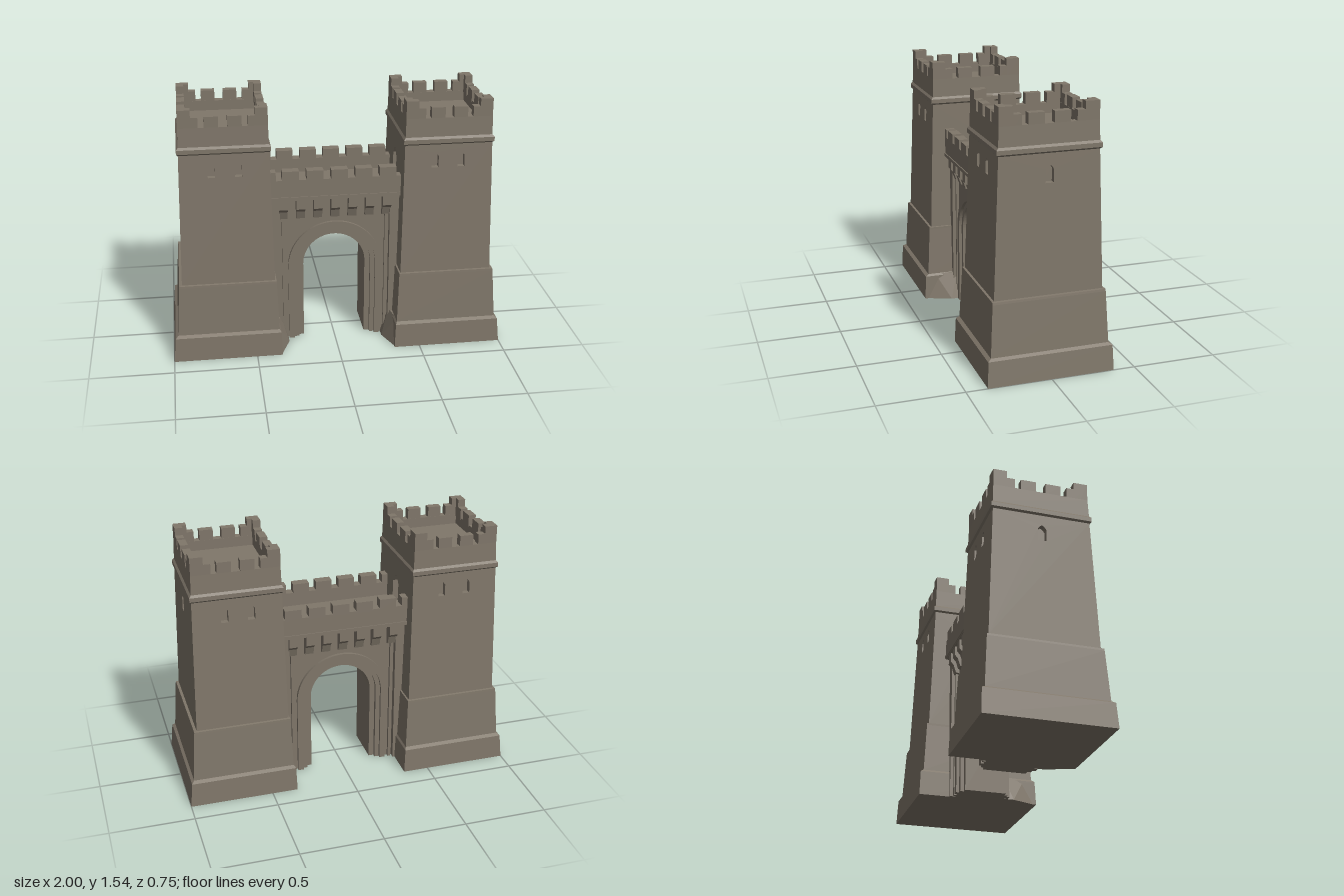
import * as THREE from 'three';
import { ConvexGeometry } from 'three/addons/geometries/ConvexGeometry.js';

const stone = new THREE.MeshStandardMaterial({ color: 0x80776a });
stone.name = 'stone';

function add(parent, name, geometry) {
  const mesh = new THREE.Mesh(geometry, stone);
  mesh.name = name;
  parent.add(mesh);
  return mesh;
}

// Box given by its two extreme corners
function block(parent, name, x0, x1, y0, y1, z0, z1) {
  add(parent, name, new THREE.BoxGeometry(x1 - x0, y1 - y0, z1 - z0))
    .position.set((x0 + x1) / 2, (y0 + y1) / 2, (z0 + z1) / 2);
}

// Rectangular rings [y, xInner, xOuter, zHalf] joined into a flat-shaded skin
function loft(rings, capBottom, capTop) {
  const pos = [];
  const corners = ([y, a, b, z]) => [[a, y, z], [b, y, z], [b, y, -z], [a, y, -z]];
  const quad = (a, b, c, d) => pos.push(...a, ...b, ...c, ...a, ...c, ...d);
  for (let i = 0; i < rings.length - 1; i++) {
    const lo = corners(rings[i]), hi = corners(rings[i + 1]);
    for (let k = 0; k < 4; k++) quad(lo[k], lo[(k + 1) % 4], hi[(k + 1) % 4], hi[k]);
  }
  if (capBottom) quad(...corners(rings[0]).reverse());
  if (capTop) quad(...corners(rings[rings.length - 1]));
  const g = new THREE.BufferGeometry();
  g.setAttribute('position', new THREE.Float32BufferAttribute(pos, 3));
  g.computeVertexNormals();
  return g;
}

// Outline of a slit window or doorway with a pointed head
function openingPoints(u, y, w, h) {
  const s = w / 2;
  return [[-s, 0], [s, 0], [s, h - s], [s * 0.5, h - s * 0.3], [0, h], [-s * 0.5, h - s * 0.3], [-s, h - s]]
    .map(([a, b]) => new THREE.Vector2(u + a, y + b));
}

// Tapering shaft: lower and upper ring
const LOW = [0.48, 0.38, 0.932, 0.317];
const HIGH = [1.28, 0.395, 0.914, 0.288];

function shaft(tower) {
  const at = (y, i) => THREE.MathUtils.lerp(LOW[i], HIGH[i], (y - LOW[0]) / (HIGH[0] - LOW[0]));
  const [, a0, b0, z0] = LOW, [, a1, b1, z1] = HIGH;
  // Each side: edge positions, openings [u, y, width, height], and placing rule
  const sides = [
    { name: 'front', e: [a0, b0, b1, a1], holes: [[0.575, 1.14, 0.042, 0.09], [0.73, 1.14, 0.042, 0.09]],
      place: (u, y, d) => [u, y, at(y, 3) + d] },
    { name: 'outer', e: [-z0, z0, z1, -z1], holes: [[0, 1.115, 0.05, 0.1]],
      place: (u, y, d) => [at(y, 2) + d, y, -u] },
    { name: 'back', e: [-b0, -a0, -a1, -b1], holes: [[-0.575, 1.14, 0.042, 0.09], [-0.73, 1.14, 0.042, 0.09]],
      place: (u, y, d) => [-u, y, -at(y, 3) - d] },
    { name: 'inner', e: [-z0, z0, z1, -z1], holes: [[0, 0.985, 0.1, 0.19]],
      place: (u, y, d) => [at(y, 1) - d, y, u] },
  ];
  for (const { name, e, holes, place } of sides) {
    const bend = (g) => {
      const p = g.attributes.position;
      for (let i = 0; i < p.count; i++) p.setXYZ(i, ...place(p.getX(i), p.getY(i), p.getZ(i)));
      g.computeVertexNormals();
      return g;
    };
    const face = new THREE.Shape([[e[0], LOW[0]], [e[1], LOW[0]], [e[2], HIGH[0]], [e[3], HIGH[0]]]
      .map((p) => new THREE.Vector2(...p)));
    for (const h of holes) {
      const pts = openingPoints(...h);
      face.holes.push(new THREE.Path(pts));
      // Inward-facing niche behind the opening
      const niche = new THREE.ExtrudeGeometry(new THREE.Shape(pts), { depth: 0.035, bevelEnabled: false });
      niche.scale(1, 1, -1);
      add(tower, name + 'Niche', bend(niche));
    }
    add(tower, name + 'ShaftWall', bend(new THREE.ShapeGeometry(face)));
  }
}

function makeTower() {
  const tower = new THREE.Group();
  add(tower, 'plinth', loft([
    [0, 0.345, 1.0, 0.373], [0.15, 0.351, 0.986, 0.367], [0.163, 0.36, 0.97, 0.347],
    [0.465, 0.371, 0.95, 0.331], [0.478, 0.371, 0.948, 0.33], LOW], true, false));
  shaft(tower);
  // String course, parapet wall and sunken roof floor in one skin
  add(tower, 'parapet', loft([
    HIGH, [1.29, 0.386, 0.924, 0.299], [1.315, 0.386, 0.924, 0.299], [1.328, 0.396, 0.913, 0.288],
    [1.44, 0.399, 0.909, 0.284], [1.44, 0.443, 0.867, 0.237], [1.38, 0.443, 0.867, 0.237]], false, true));
  // Battlements: [start, end, top] as fractions of half a side
  const teeth = [[0.1, 0.42, 1.503], [0.55, 0.72, 1.5], [0.71, 1, 1.545]];
  const cx = 0.654, hx = 0.255, hz = 0.284, t = 0.046;
  for (const s of [-1, 1]) for (const m of [-1, 1]) for (const [f0, f1, top] of teeth) {
    const span = (h) => [m * f0 * h, m * f1 * h].sort((a, b) => a - b);
    const [xa, xb] = span(hx), [za, zb] = span(hz);
    const zc = s * (hz - t / 2), xc = cx + s * (hx - t / 2);
    block(tower, 'merlon', cx + xa, cx + xb, 1.43, top, zc - t / 2, zc + t / 2);
    block(tower, 'merlon', xc - t / 2, xc + t / 2, 1.43, top, za, zb);
  }
  return tower;
}

const SPRING = 0.49;

// Extrude a front outline symmetrically about z = 0
function slab(parent, name, shape, half) {
  const g = new THREE.ExtrudeGeometry(shape, { depth: half * 2, bevelEnabled: false, curveSegments: 20 });
  add(parent, name, g.translate(0, 0, -half));
}

// Outline running up over an arch of radius r, left foot to right foot
function archOver(shape, r) {
  shape.lineTo(-r, 0).lineTo(-r, SPRING);
  shape.absarc(0, SPRING, r, Math.PI, 0, true);
  return shape.lineTo(r, 0);
}

function archBand(parent, name, r0, r1, half) {
  const s = archOver(new THREE.Shape().moveTo(-r1, 0), r0);
  s.lineTo(r1, 0).lineTo(r1, SPRING);
  s.absarc(0, SPRING, r1, 0, Math.PI, false);
  s.lineTo(-r1, 0);
  slab(parent, name, s, half);
}

function makeGate() {
  const gate = new THREE.Group();
  const wall = archOver(new THREE.Shape().moveTo(-0.4, 0), 0.222);
  wall.lineTo(0.4, 0).lineTo(0.4, 0.96).lineTo(-0.4, 0.96);
  slab(gate, 'gateWall', wall, 0.15);
  archBand(gate, 'innerArch', 0.19, 0.226, 0.128);
  archBand(gate, 'archMoulding', 0.25, 0.285, 0.168);
  block(gate, 'walkway', -0.4, 0.4, 0.94, 0.985, -0.17, 0.17);

  for (const m of [-1, 1]) {
    // Pilaster and slim shaft beside the arch
    block(gate, 'pilaster', m * 0.365 - 0.033, m * 0.365 + 0.033, 0, 0.945, -0.185, 0.185);
    block(gate, 'slimShaft', m * 0.313 - 0.008, m * 0.313 + 0.008, 0, 0.84, -0.168, 0.168);
    // Sloping stone at the foot of the tower
    add(gate, 'footStone', new ConvexGeometry([
      [0.35, 0, 0.365], [0.29, 0, 0.21], [0.29, 0, 0.14], [0.37, 0, 0.14],
      [0.37, 0, 0.365], [0.365, 0.16, 0.3], [0.34, 0.16, 0.16], [0.37, 0.16, 0.16],
    ].map(([x, y, z]) => new THREE.Vector3(m * x, y, z))));
  }

  // Corbel outline in (depth, height)
  const corbel = new THREE.Shape([[0.13, 0.8], [0.172, 0.81], [0.188, 0.86], [0.207, 0.88], [0.207, 0.95], [0.13, 0.95]]
    .map((p) => new THREE.Vector2(...p)));
  for (const s of [-1, 1]) {
    const strip = (name, x0, x1, y0, y1, d0, d1) =>
      block(gate, name, x0, x1, y0, y1, Math.min(s * d0, s * d1), Math.max(s * d0, s * d1));
    strip('gateParapet', -0.4, 0.4, 0.94, 1.07, 0.155, 0.213);
    strip('stringCourse', -0.4, 0.4, 0.945, 0.965, 0.2, 0.219);
    strip('gateMerlon', -0.4, -0.355, 1.06, 1.122, 0.155, 0.213);
    for (let i = 0; i < 5; i++) {
      const x = -0.268 + i * 0.145;
      strip('gateMerlon', x - 0.05, x + 0.05, 1.06, 1.125, 0.155, 0.213);
    }
    for (let i = 0; i < 7; i++) {
      const g = new THREE.ExtrudeGeometry(corbel, { depth: 0.052, bevelEnabled: false });
      g.translate(0, 0, -0.026).rotateY(-s * Math.PI / 2);
      add(gate, 'corbel', g).position.x = -0.312 + i * 0.104;
    }
  }
  return gate;
}

export function createModel() {
  const model = new THREE.Group();
  model.name = 'castleGatehouse';
  const left = makeTower();
  left.name = 'leftTower';
  const right = makeTower();
  right.name = 'rightTower';
  right.rotation.y = Math.PI;
  const gate = makeGate();
  gate.name = 'gate';
  model.add(left, right, gate);
  return model;
}
